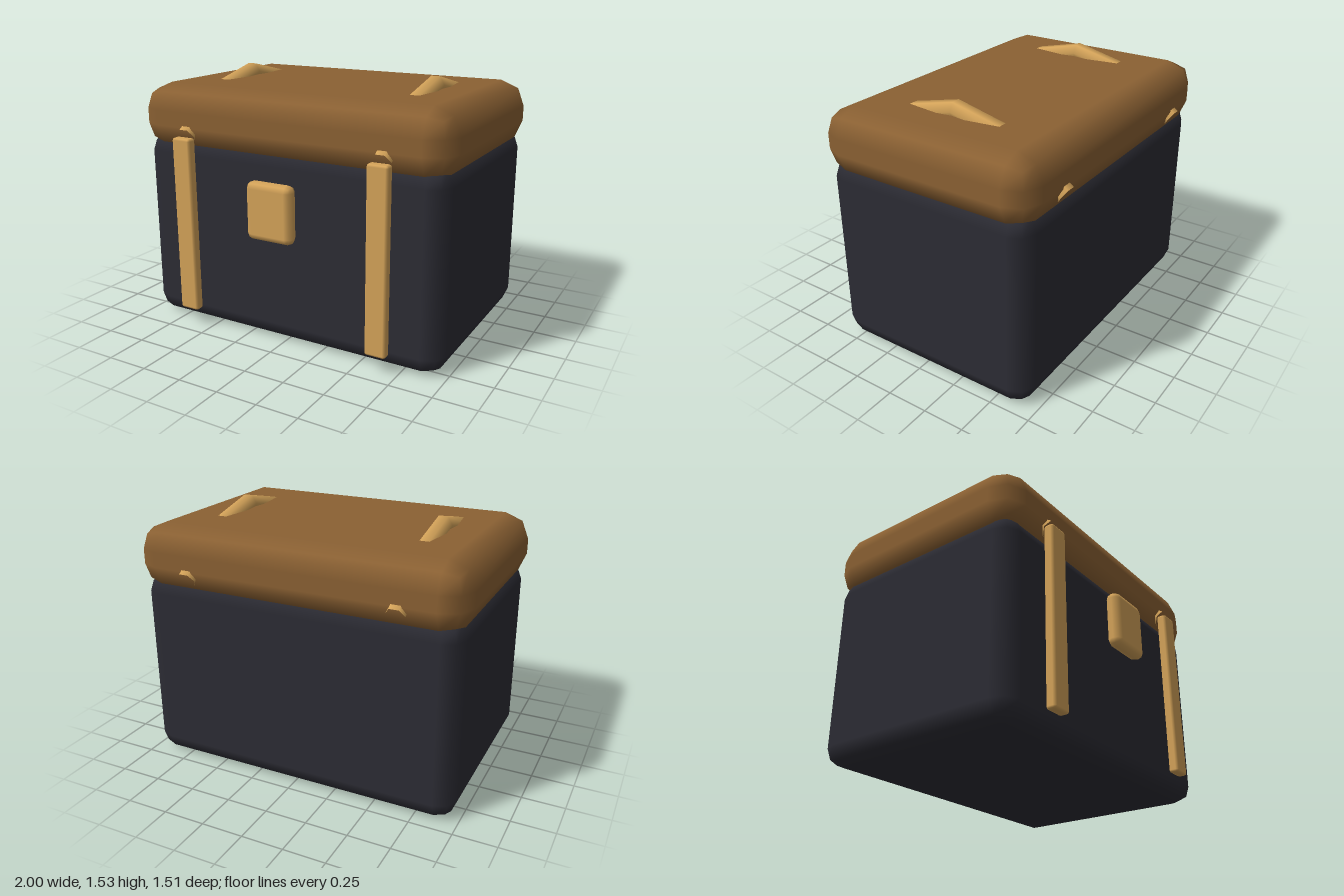
import * as THREE from 'three';
import { RoundedBoxGeometry } from 'three/addons/geometries/RoundedBoxGeometry.js';

const MID_Z = -0.047; // centre of the chest itself; the latch sticks out in front

function material(name, color) {
  const m = new THREE.MeshStandardMaterial({ color });
  m.name = name;
  return m;
}

export function createModel() {
  const model = new THREE.Group();
  model.name = 'chest';
  const dark = material('charcoal', 0x2c2c34);
  const leather = material('brown leather', 0x8b6133);
  const gold = material('tan gold', 0xd4a359);

  const add = (name, geometry, mat, x = 0, y = 0, z = 0) => {
    const mesh = new THREE.Mesh(geometry, mat);
    mesh.name = name;
    mesh.position.set(x, y, z);
    model.add(mesh);
  };
  // Box with a single chamfer step per edge and smooth normals
  const softBox = (w, h, d, r) => new RoundedBoxGeometry(w, h, d, 1, r);

  // Main shell
  add('body', softBox(1.95, 1.165, 1.315, 0.11), dark, 0, 0.5825, MID_Z);
  add('lid', softBox(2, 0.39, 1.365, 0.15), leather, 0, 1.27, MID_Z);

  // Strap over the lid: rises through the top and pokes out front and back
  const arch = new THREE.CatmullRomCurve3([
    [0.68, 1.18], [0.35, 1.409], [0, 1.487], [-0.35, 1.409], [-0.68, 1.18],
  ].map(([z, y]) => new THREE.Vector3(0, y, z)));
  const archGeometry = new THREE.TubeGeometry(arch, 4, 0.055, 6, false);

  for (const [side, x] of [['left', 0.635], ['right', -0.635]]) {
    add(side + 'LidStrap', archGeometry, gold, x, 0, MID_Z);
    add(side + 'FrontStrap', softBox(0.126, 1.07, 0.06, 0.015), gold, x, 0.64, 0.663);
  }

  // Latch plate
  add('latch', softBox(0.294, 0.34, 0.088, 0.04), gold, 0, 0.83, 0.708);

  return model;
}
